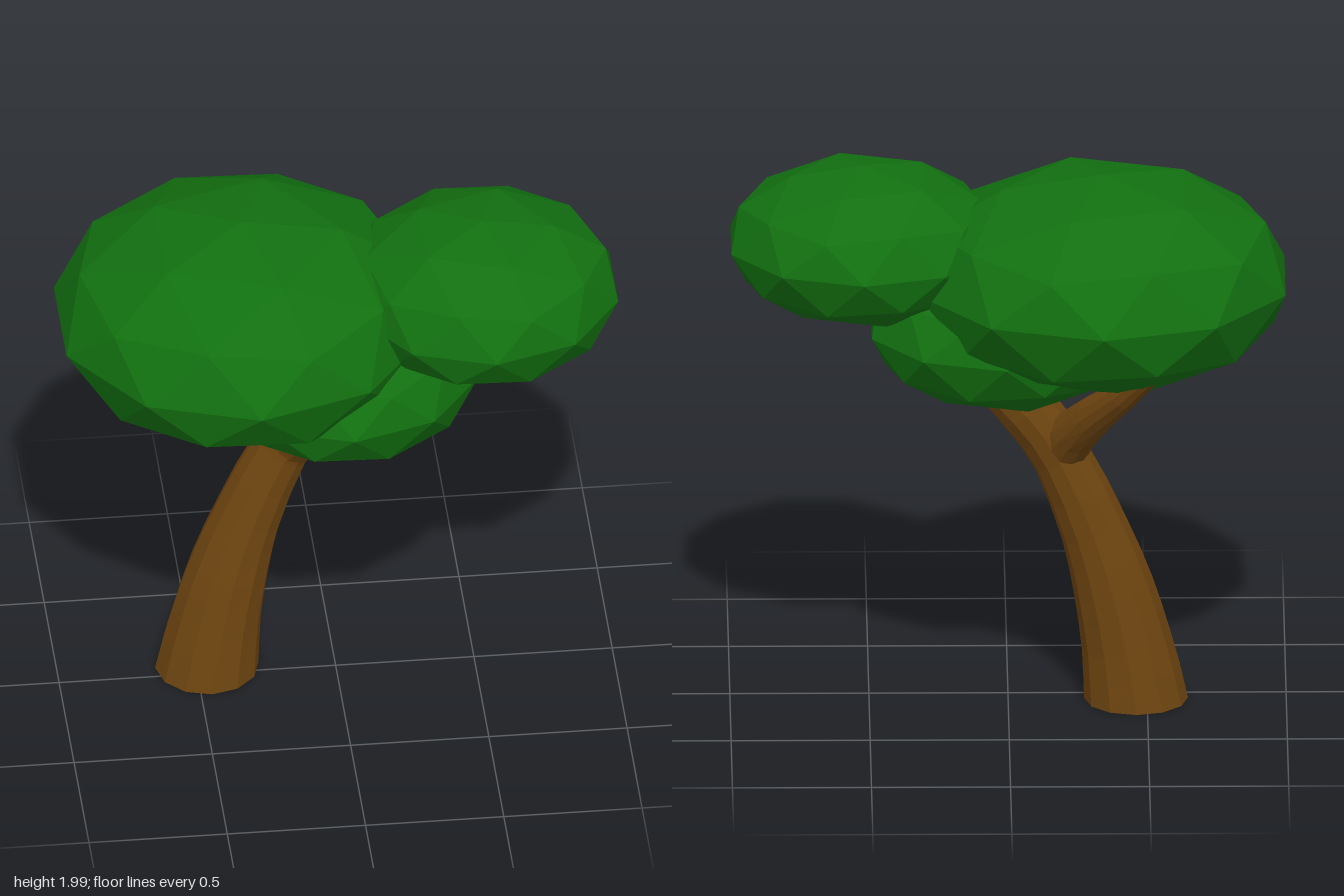
import * as THREE from 'three';

const V = (x, y, z) => new THREE.Vector3(x, y, z);
const bark = new THREE.MeshStandardMaterial({ color: 0x6e4510, flatShading: true });
const leaf = new THREE.MeshStandardMaterial({ color: 0x127010, flatShading: true });

// Tapered limb: a cylinder bent along a curve, with a radius for each control point
function limb(name, points, radii, steps, flatBase = false) {
  const curve = new THREE.CatmullRomCurve3(points);
  const geo = new THREE.CylinderGeometry(1, 1, 1, 12, steps);
  const pos = geo.attributes.position;
  for (let i = 0; i < pos.count; i++) {
    const t = THREE.MathUtils.clamp(pos.getY(i) + 0.5, 0, 1);
    const k = t * (radii.length - 1);
    const a = Math.min(Math.floor(k), radii.length - 2);
    const r = THREE.MathUtils.lerp(radii[a], radii[a + 1], k - a);
    const tangent = flatBase && t < 1e-4 ? V(0, 1, 0) : curve.getTangent(t);
    const side = tangent.clone().cross(V(0, 0, 1)).normalize();
    const front = side.clone().cross(tangent);
    const p = curve.getPoint(t)
      .addScaledVector(side, pos.getX(i) * r)
      .addScaledVector(front, pos.getZ(i) * r);
    pos.setXYZ(i, p.x, p.y, p.z);
  }
  geo.computeVertexNormals();
  const mesh = new THREE.Mesh(geo, bark);
  mesh.name = name;
  return mesh;
}

// Flattened low-poly ball of leaves with a corner pointing straight up
function foliage(name, center, radius, height) {
  const geo = new THREE.IcosahedronGeometry(1, 1);
  geo.rotateZ(-Math.atan(2 / (1 + Math.sqrt(5))));
  geo.scale(radius, height, radius);
  geo.computeVertexNormals();
  const mesh = new THREE.Mesh(geo, leaf);
  mesh.name = name;
  mesh.position.copy(center);
  return mesh;
}

export function createModel() {
  const tree = new THREE.Group();
  tree.name = 'tree';
  tree.add(
    // Leaning trunk that carries on into the long left branch
    limb('trunk', [
      V(-0.46, 0, -0.055), V(-0.425, 0.22, -0.058), V(-0.378, 0.43, -0.062),
      V(-0.31, 0.65, -0.066), V(-0.19, 0.93, -0.07), V(-0.07, 1.11, -0.06),
      V(0.14, 1.28, -0.04), V(0.42, 1.47, -0.02),
    ], [0.187, 0.163, 0.145, 0.123, 0.105, 0.11, 0.075, 0.045], 14, true),
    // Side branches
    limb('backRightBranch', [
      V(-0.19, 0.95, -0.07), V(-0.25, 1.07, -0.16), V(-0.38, 1.22, -0.31), V(-0.5, 1.36, -0.41),
    ], [0.095, 0.085, 0.06, 0.045], 4),
    limb('frontBranch', [
      V(-0.17, 0.95, -0.06), V(-0.08, 1.11, 0.04), V(0, 1.27, 0.13),
    ], [0.09, 0.085, 0.06], 3),
    // Crown
    foliage('largeFoliage', V(-0.34, 1.59, 0), 0.69, 0.39),
    foliage('upperLeftFoliage', V(0.52, 1.7, 0.09), 0.5, 0.285),
    foliage('lowerFoliage', V(0.01, 1.385, 0.066), 0.505, 0.287),
  );
  return tree;
}
